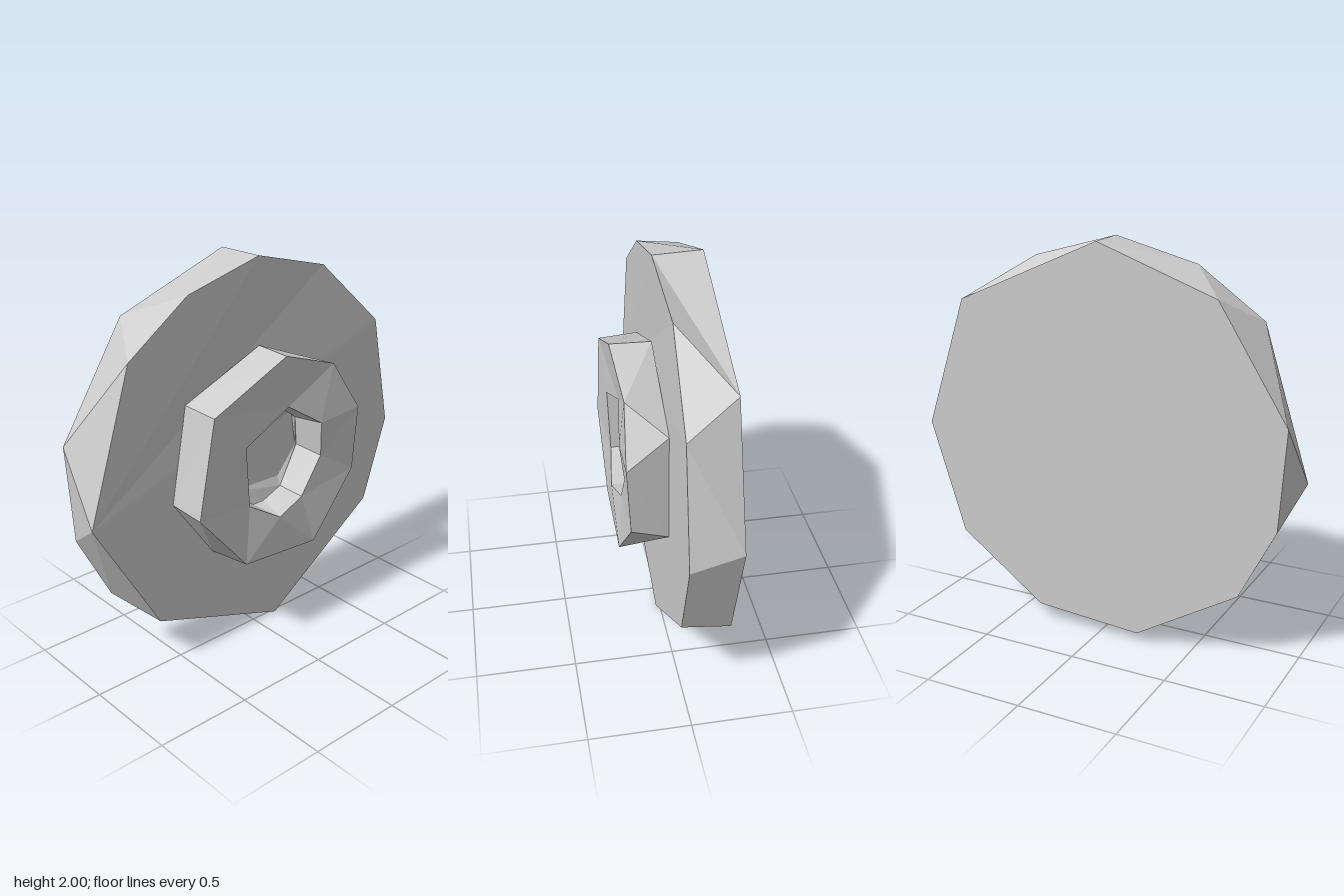
import * as THREE from 'three';

// Order a ring of [x, y, z] points counter-clockwise about the model's axis
const angle = (p) => Math.atan2(p[1] - 1, p[0]);
const ring = (points) => points.slice().sort((p, q) => angle(p) - angle(q));

// Zigzag strip of triangles joining two rings that may differ in count
function band(a, b) {
  const out = [];
  const at = (r, i) => angle(r[i % r.length]) + (i >= r.length ? 2 * Math.PI : 0);
  let i = 0, j = 0;
  while (i < a.length || j < b.length) {
    const p = a[i % a.length], q = b[j % b.length];
    if (j >= b.length || (i < a.length && at(a, i + 1) < at(b, j + 1))) {
      out.push(p, q, a[++i % a.length]);
    } else {
      out.push(p, q, b[++j % b.length]);
    }
  }
  return out;
}

// Fan that closes a ring, facing forward or backward
function cap(r, backward = false) {
  const out = [];
  for (let i = 1; i < r.length - 1; i++) {
    out.push(r[0], ...(backward ? [r[i + 1], r[i]] : [r[i], r[i + 1]]));
  }
  return out;
}

export function createModel() {
  const model = new THREE.Group();
  model.name = 'hubbedDisc';
  const grey = new THREE.MeshStandardMaterial({ color: 0xcccccc, flatShading: true });
  grey.name = 'plain grey';

  function add(name, ...strips) {
    const geometry = new THREE.BufferGeometry();
    geometry.setAttribute('position', new THREE.Float32BufferAttribute(strips.flat(2), 3));
    geometry.computeVertexNormals();
    const mesh = new THREE.Mesh(geometry, grey);
    mesh.name = name;
    model.add(mesh);
  }

  // Rough-cut disc: front and back outlines are staggered
  const discFront = ring([
    [0.02, 2, 0.02], [-0.41, 1.89, 0.02], [-0.75, 1.65, 0.02], [-0.99, 0.9, 0.02], [-0.63, 0.27, 0.02],
    [0.14, 0, 0.02], [0.82, 0.47, 0.02], [0.97, 0.92, 0.02], [0.85, 1.52, 0.02], [0.46, 1.88, 0.005],
  ]);
  const discBack = ring([
    [0, 2, -0.225], [-0.61, 1.78, -0.225], [-0.96, 1.23, -0.225], [-0.93, 0.73, -0.225], [-0.75, 0.37, -0.225],
    [-0.22, 0.05, -0.225], [0.34, 0.09, -0.225], [0.8, 0.42, -0.225], [0.985, 1, -0.225], [0.76, 1.67, -0.225],
  ]);
  // Raised hub
  const hubBase = ring([
    [0.02, 1.56, 0.02], [-0.44, 1.37, 0.02], [-0.53, 0.88, 0.02], [-0.29, 0.54, 0.02],
    [0.16, 0.49, 0.02], [0.49, 0.75, 0.02], [0.48, 1.31, 0.02],
  ]);
  const hubFront = ring([
    [0.01, 1.56, 0.225], [-0.43, 1.36, 0.22], [-0.53, 0.87, 0.225], [-0.24, 0.53, 0.22],
    [0.22, 0.5, 0.225], [0.51, 0.82, 0.205], [0.52, 1.17, 0.225], [0.35, 1.44, 0.205],
  ]);
  // Socket in the hub: rim, foot of the wall, and the flat of the floor
  const rim = ring([
    [0.06, 1.28, 0.19], [-0.23, 1.15, 0.21], [-0.2, 0.83, 0.2], [-0.02, 0.72, 0.225],
    [0.15, 0.77, 0.2], [0.28, 0.96, 0.2], [0.26, 1.15, 0.22],
  ]);
  const foot = ring([
    [0.05, 1.27, 0.1], [-0.19, 1.17, 0.09], [-0.22, 1.05, 0.04], [-0.2, 0.84, 0.03], [-0.05, 0.735, 0.055],
    [0.02, 0.735, 0.055], [0.14, 0.78, 0.05], [0.27, 0.97, 0.03], [0.25, 1.13, 0.04],
  ]);
  const flat = ring([
    [-0.21, 1.05, 0.03], [0.23, 1.17, 0.03], [0.26, 0.97, 0.03], [0.14, 0.83, 0.03], [-0.19, 0.84, 0.03],
  ]);

  add('disc', cap(discFront), band(discFront, discBack), cap(discBack, true));
  add('hub', band(hubFront, hubBase), band(rim, hubFront));
  add('socket', band(foot, rim), band(flat, foot), cap(flat));
  return model;
}
